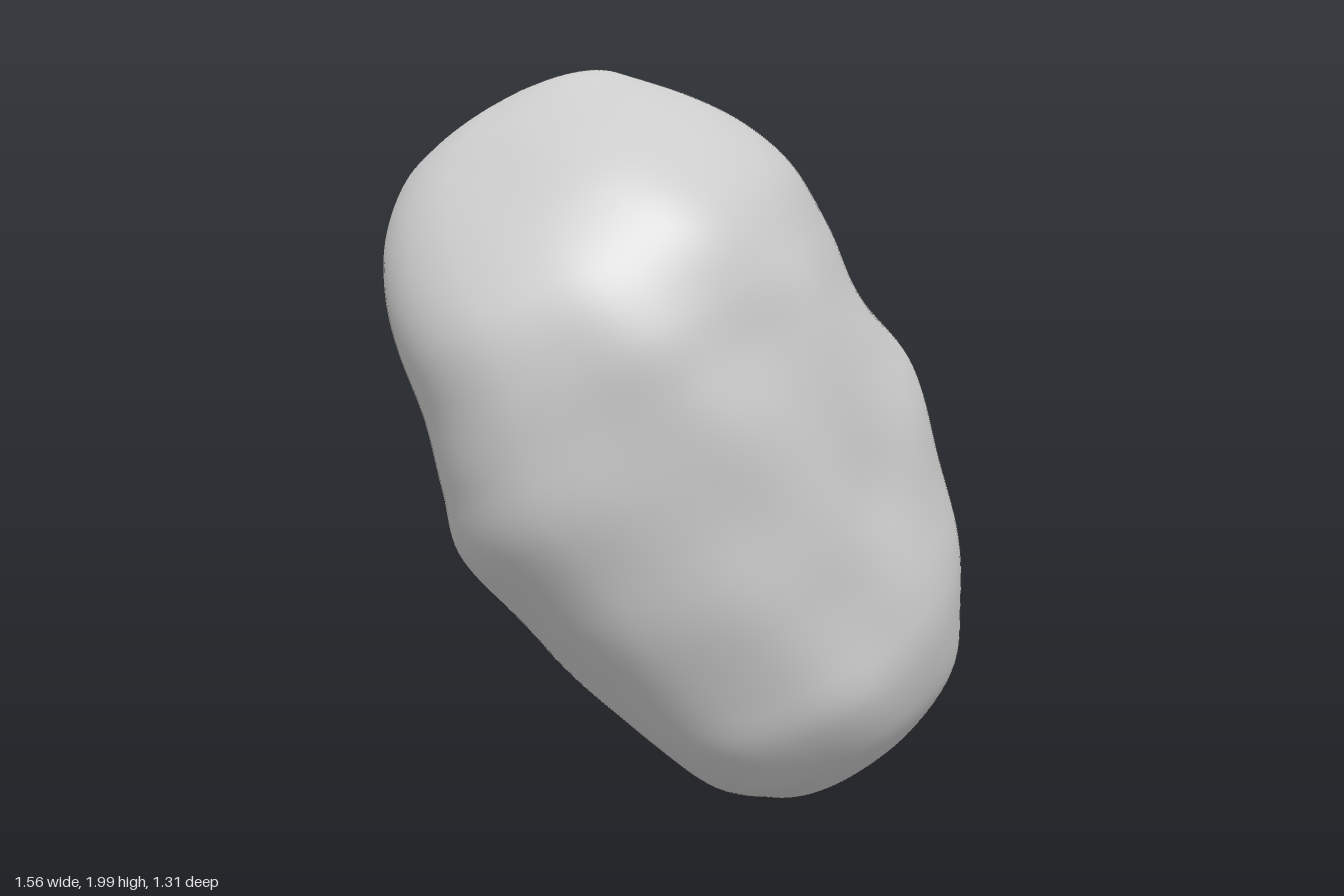
import * as THREE from 'three';

// Cross-sections square to the leaning long axis:
// distance along axis, left edge, right edge, front edge, back edge
const SECTIONS = [
  [-1.05, -0.03, -0.03, 0, 0],
  [-1.043, -0.10, 0.06, 0.06, -0.07],
  [-1.015, -0.19, 0.17, 0.14, -0.17],
  [-0.96, -0.26, 0.325, 0.24, -0.26],
  [-0.86, -0.345, 0.44, 0.38, -0.34],
  [-0.72, -0.42, 0.515, 0.485, -0.435],
  [-0.56, -0.495, 0.585, 0.53, -0.53],
  [-0.36, -0.565, 0.622, 0.575, -0.595],
  [-0.16, -0.605, 0.645, 0.61, -0.635],
  [0.04, -0.645, 0.63, 0.65, -0.66],
  [0.20, -0.605, 0.61, 0.66, -0.65],
  [0.36, -0.572, 0.612, 0.655, -0.635],
  [0.54, -0.555, 0.593, 0.61, -0.60],
  [0.70, -0.52, 0.52, 0.51, -0.535],
  [0.83, -0.465, 0.425, 0.38, -0.46],
  [0.94, -0.36, 0.31, 0.23, -0.33],
  [0.99, -0.245, 0.24, 0.15, -0.23],
  [1.018, -0.12, 0.145, 0.08, -0.12],
  [1.031, 0.02, 0.02, 0, -0.02],
];

// Broad dents and swellings: x, y, z, radius, amount
const BUMPS = [
  [0.60, 1.22, -0.18, 0.17, 0.045],
  [0.50, 0.95, 0.42, 0.16, -0.03],
  [0.32, 1.42, 0.42, 0.13, 0.015],
  [-0.1, 1.02, 0.64, 0.16, -0.015],
  [-0.45, 0.92, 0.45, 0.12, -0.015],
  [-0.4, 0.68, -0.35, 0.14, -0.012],
  [-0.62, 1.12, -0.32, 0.17, 0.03],
  [-0.45, 1.86, 0.05, 0.10, -0.012],
];

const RINGS = 120, SIDES = 128;
const LEAN = 0.445; // tilt of the long axis toward the right-hand side
const { lerp, smoothstep } = THREE.MathUtils;

// Local (across, along, depth) to model space
function place(across, along, depth) {
  return new THREE.Vector3(across, along, depth)
    .applyAxisAngle(new THREE.Vector3(0, 0, 1), LEAN)
    .add(new THREE.Vector3(0, 1, 0));
}

function surfacePoint(section, angle) {
  const [along, left, right, front, back] = section;
  const c = Math.cos(angle), s = Math.sin(angle);
  // Squareness of each quadrant, blended smoothly around the ring
  const upper = smoothstep(along, -0.1, 0.7);
  const frontLeft = lerp(2.1, 2.9, smoothstep(along, -0.6, 0.3));
  const frontRight = lerp(1.85, 2.1, upper);
  const backLeft = lerp(2.1, 1.85, upper);
  const corner = s > 0 ? (c > 0 ? frontRight : frontLeft) : (c > 0 ? 2.15 : backLeft);
  const n = 2 + (corner - 2) * Math.min(1, 2.5 * Math.abs(s * c));
  const r = Math.pow(Math.abs(c) ** n + Math.abs(s) ** n, -1 / n);

  // Skew the ring: front swings left, back and right side swing round; none at the tips
  const fade = Math.min(1, (right - left) / 1.15) ** 2;
  const across = (left + right) / 2 + (right - left) / 2 * c * r - 0.08 * fade * s ** 3;
  const depth = (front + back) / 2 + (front - back) / 2 * s * r
    - 0.06 * fade * Math.max(0, c) ** 3;
  const p = place(across, along, depth);

  // Surface relief
  let relief = 0.006 * Math.sin(7 * p.x + 5 * p.y + 1) * Math.sin(6 * p.z - 8 * p.y)
    + 0.004 * Math.sin(15 * p.y + 4 * p.x) * Math.sin(9 * p.x - 8 * p.z + 2);
  for (const [bx, by, bz, radius, amount] of BUMPS) {
    const d2 = (p.x - bx) ** 2 + (p.y - by) ** 2 + (p.z - bz) ** 2;
    relief += amount * Math.exp(-d2 / (radius * radius));
  }
  relief *= Math.min(1, (right - left) / 0.8);
  return place(across + c * relief, along, depth + s * relief);
}

function createBoulderGeometry() {
  // Matching splines carry the section values smoothly along the body
  const spline = (i, j) => new THREE.SplineCurve(SECTIONS.map(q => new THREE.Vector2(q[i], q[j])));
  const lengths = spline(0, 0), widths = spline(1, 2), depths = spline(3, 4);
  const positions = [], index = [];

  for (let i = 1; i < RINGS; i++) {
    const t = i / RINGS;
    const w = widths.getPoint(t), d = depths.getPoint(t);
    const section = [lengths.getPoint(t).x, w.x, w.y, d.x, d.y];
    for (let j = 0; j < SIDES; j++) {
      positions.push(...surfacePoint(section, j / SIDES * Math.PI * 2).toArray());
    }
  }
  const bottom = positions.length / 3, top = bottom + 1;
  for (const [along, across, , , depth] of [SECTIONS[0], SECTIONS.at(-1)]) {
    positions.push(...place(across, along, depth).toArray());
  }

  for (let j = 0; j < SIDES; j++) {
    const k = (j + 1) % SIDES;
    for (let i = 0; i < RINGS - 2; i++) {
      const a = i * SIDES + j, b = i * SIDES + k;
      index.push(a, a + SIDES, b, b, a + SIDES, b + SIDES);
    }
    const last = (RINGS - 2) * SIDES;
    index.push(bottom, j, k, top, last + k, last + j);
  }

  const geometry = new THREE.BufferGeometry();
  geometry.setAttribute('position', new THREE.Float32BufferAttribute(positions, 3));
  geometry.setIndex(index);
  geometry.computeVertexNormals();
  return geometry;
}

export function createModel() {
  const group = new THREE.Group();
  const boulder = new THREE.Mesh(
    createBoulderGeometry(),
    new THREE.MeshStandardMaterial({ color: 0xcccccc }));
  boulder.name = 'boulder';
  group.add(boulder);
  return group;
}
